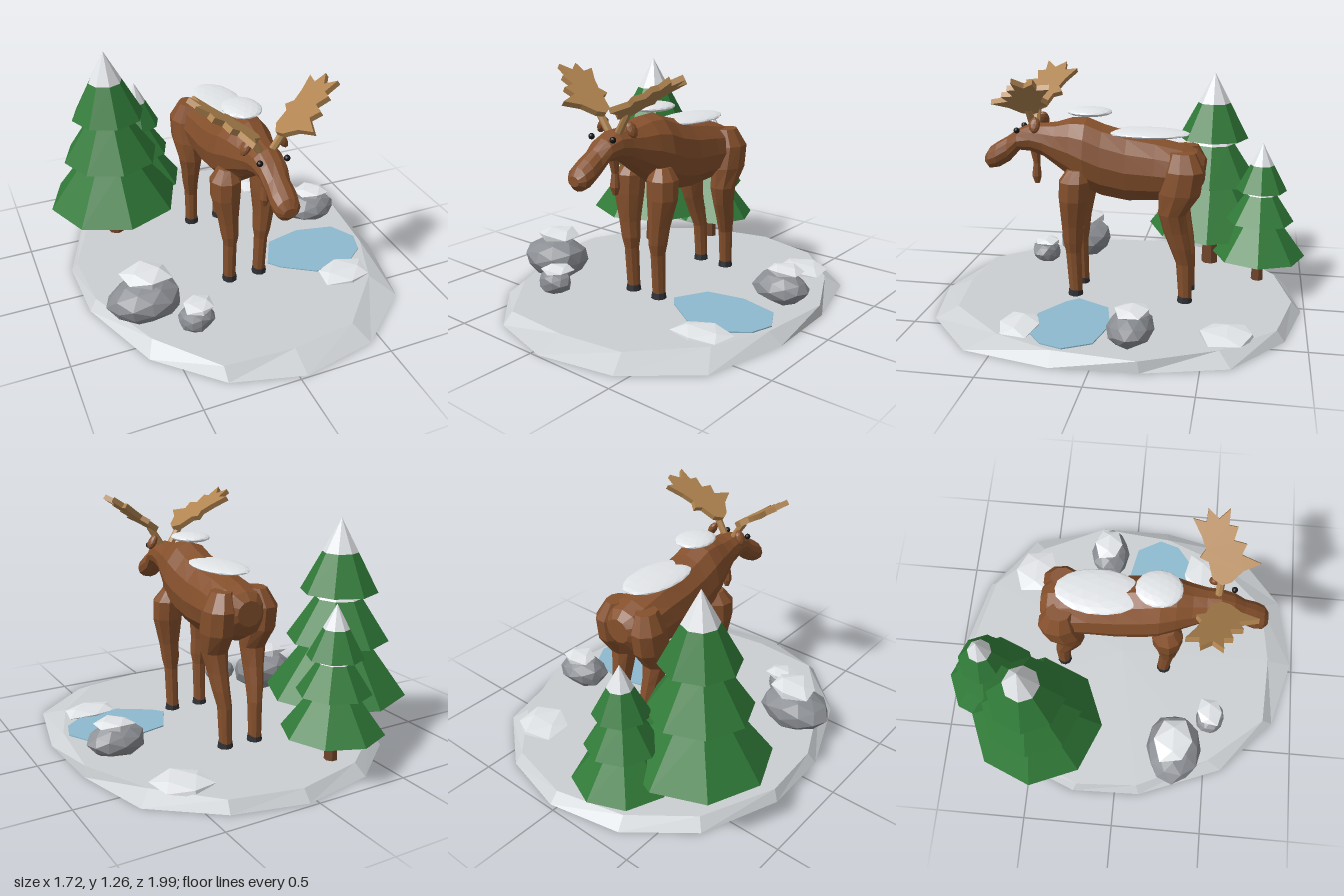
import * as THREE from 'three';

const mat = (name, color) => {
  const m = new THREE.MeshStandardMaterial({ color, flatShading: true });
  m.name = name;
  return m;
};

// Joins rings of points with faces and closes both ends
function loft(rings) {
  const n = rings[0].length, pos = [], idx = [];
  rings.forEach(r => r.forEach(p => pos.push(...p)));
  for (let i = 0; i < rings.length - 1; i++) {
    for (let j = 0; j < n; j++) {
      const k = (j + 1) % n, a = i * n + j, b = i * n + k;
      idx.push(a, b, b + n, a, b + n, a + n);
    }
  }
  const cap = (ring, start, flip) => {
    const c = pos.length / 3;
    pos.push(...[0, 1, 2].map(q => ring.reduce((s, p) => s + p[q], 0) / n));
    for (let j = 0; j < n; j++) {
      const a = start + j, b = start + (j + 1) % n;
      if (flip) idx.push(c, b, a); else idx.push(c, a, b);
    }
  };
  cap(rings[0], 0, true);
  cap(rings[rings.length - 1], (rings.length - 1) * n, false);
  const g = new THREE.BufferGeometry();
  g.setAttribute('position', new THREE.Float32BufferAttribute(pos, 3));
  g.setIndex(idx);
  g.computeVertexNormals();
  return g;
}
const angles = n => Array.from({ length: n }, (_, i) => i / n * Math.PI * 2);
// Cross-section facing z, from top, bottom and half width
const ringZ = ([z, top, bot, rx]) => angles(12).map(a =>
  [Math.cos(a) * rx, (top + bot) / 2 + Math.sin(a) * (top - bot) / 2, z]);
// Cross-section facing y, mirrored by side s
const ringY = s => ([y, x, z, rx, rz]) => angles(9).map(a =>
  [s * x + Math.sin(a) * rx, y, z + Math.cos(a) * rz]);

// Faceted ball with bumps that depend only on position
function lump(detail, bump, seed) {
  const g = new THREE.IcosahedronGeometry(1, detail), p = g.attributes.position;
  for (let i = 0; i < p.count; i++) {
    const x = p.getX(i), y = p.getY(i), z = p.getZ(i);
    const k = 1 + bump * Math.sin(5 * x + 7 * y + 3 * z + seed);
    p.setXYZ(i, x * k, y * k, z * k);
  }
  g.computeVertexNormals();
  return g;
}

export function createModel() {
  const fur = mat('fur', 0x85502c), antler = mat('antler', 0xb08450);
  const hoof = mat('hoof', 0x2e2f33), eyeBlack = mat('eye', 0x141414);
  const snow = mat('snow', 0xe6e9ec), ground = mat('ground', 0xcbcfd2);
  const rock = mat('rock', 0x8b8e93), pine = mat('pine', 0x307a38);
  const bark = mat('bark', 0x70452a), ice = mat('ice', 0x8dbacf);

  const root = new THREE.Group();
  const add = (parent, name, geo, m, pos = [0, 0, 0], scale = [1, 1, 1]) => {
    const mesh = new THREE.Mesh(geo, m);
    mesh.name = name;
    mesh.position.set(...pos);
    mesh.scale.set(...scale);
    parent.add(mesh);
    return mesh;
  };
  const group = (name, x = 0, y = 0, z = 0) => {
    const g = new THREE.Group();
    g.name = name;
    g.position.set(x, y, z);
    root.add(g);
    return g;
  };

  // Snowy ground slab with a sloping rim
  const rim = [[.04, .99], [.44, .91], [.76, .64], [.86, .19], [.84, -.23], [.73, -.64], [.41, -.89],
    [.04, -.98], [-.35, -.9], [-.66, -.65], [-.82, -.24], [-.81, .14], [-.63, .6], [-.33, .89]];
  const plate = [[.04, .85], [.39, .8], [.67, .5], [.79, .2], [.83, -.22], [.66, -.58], [.4, -.85],
    [.04, -.93], [-.33, -.84], [-.62, -.61], [-.79, -.22], [-.77, .12], [-.59, .52], [-.33, .83]];
  add(root, 'groundSlab', loft([rim.map(([x, z]) => [x, 0, z]), plate.map(([x, z]) => [x, .055, z])]), ground);

  // Frozen pond
  const pond = [[.42, .36], [.63, .35], [.74, .265], [.775, .15], [.7, .015], [.49, -.03], [.29, .015], [.2, .19], [.25, .25]];
  add(root, 'pond', loft([.054, .061].map(y => pond.map(([x, z]) => [x, y, z]))), ice);

  // Moose
  const moose = group('moose', .04);
  add(moose, 'bodyAndHead', loft([
    [-.45, .83, .7, .07], [-.41, .87, .64, .13], [-.34, .895, .6, .16], [-.2, .925, .585, .155],
    [-.05, .95, .575, .155], [.08, .985, .595, .155], [.17, 1.02, .63, .155], [.25, 1.015, .69, .135],
    [.33, .99, .75, .11], [.4, .98, .8, .09], [.47, .978, .825, .083], [.54, .948, .83, .075],
    [.6, .905, .765, .064], [.66, .87, .73, .07], [.705, .84, .722, .062], [.73, .8, .75, .035]
  ].map(ringZ)), fur);
  add(moose, 'dewlap', loft([[.65, 0, .45, .012, .014], [.69, 0, .452, .026, .026], [.76, 0, .45, .018, .018],
    [.85, 0, .46, .028, .03]].map(ringY(1))), fur);

  const foreLeg = [[.08, .088, .225, .034, .036], [.3, .09, .235, .036, .042], [.36, .092, .237, .048, .053],
    [.45, .1, .235, .054, .06], [.6, .112, .225, .08, .08], [.7, .11, .22, .082, .083], [.76, .1, .21, .045, .05]];
  const hindLeg = [[.08, .088, -.37, .034, .036], [.27, .09, -.362, .037, .044], [.36, .1, -.34, .045, .056],
    [.45, .106, -.315, .052, .066], [.55, .112, -.295, .068, .072], [.66, .12, -.335, .08, .11],
    [.78, .12, -.355, .08, .103], [.87, .1, -.345, .05, .065]];
  // Antler palm outline: sideways reach and depth
  const palm = [[.05, .46], [.075, .41], [.14, .385], [.155, .34], [.19, .365], [.24, .34], [.31, .29],
    [.3, .355], [.355, .36], [.317, .415], [.36, .465], [.295, .465], [.29, .51], [.235, .495],
    [.225, .56], [.18, .54], [.15, .64], [.115, .555], [.065, .505]];
  const ca = .829, sa = .559;
  const palmGeo = new THREE.ExtrudeGeometry(
    new THREE.Shape(palm.map(([x, z]) => new THREE.Vector2(x / ca, z))), { depth: .028, bevelEnabled: false });
  palmGeo.translate(0, 0, -.014);
  const hoofGeo = new THREE.CylinderGeometry(.036, .041, .032, 9);

  for (const s of [1, -1]) {
    const side = s > 0 ? 'left' : 'right';
    add(moose, side + 'ForeLeg', loft(foreLeg.map(ringY(s))), fur);
    add(moose, side + 'HindLeg', loft(hindLeg.map(ringY(s))), fur);
    add(moose, side + 'ForeHoof', hoofGeo, hoof, [s * .088, .071, .227]);
    add(moose, side + 'HindHoof', hoofGeo, hoof, [s * .088, .071, -.368]);
    add(moose, side + 'Ear', new THREE.IcosahedronGeometry(1, 1), fur, [s * .095, .985, .43], [.022, .045, .03])
      .rotation.z = s * .5;
    add(moose, side + 'Eye', new THREE.IcosahedronGeometry(.016, 1), eyeBlack, [s * .07, .948, .535]);
    const beam = new THREE.LineCurve3(new THREE.Vector3(s * .03, .96, .455), new THREE.Vector3(s * .1, 1.07, .46));
    add(moose, side + 'AntlerBeam', new THREE.TubeGeometry(beam, 1, .02, 7), antler);
    const m = add(moose, side + 'AntlerPalm', palmGeo, antler, [0, 1.01, 0]);
    m.quaternion.setFromRotationMatrix(new THREE.Matrix4().makeBasis(
      new THREE.Vector3(s * ca, sa, 0), new THREE.Vector3(0, 0, 1), new THREE.Vector3(sa, -s * ca, 0)));
  }
  // Snow lying on the back and hump
  add(moose, 'backSnow', new THREE.IcosahedronGeometry(1, 2), snow, [0, .946, -.145], [.125, .021, .228]);
  add(moose, 'humpSnow', new THREE.IcosahedronGeometry(1, 2), snow, [0, 1.048, .157], [.1, .023, .12]);

  // Pines: stacked cones with white tips [base height, radius, cone height]
  const tiers = [[.285, .365, .49], [.57, .265, .4], [.82, .2, .375]];
  for (const [name, x, z, k] of [['tallPine', -.49, -.46, 1], ['smallPine', -.255, -.745, .7]]) {
    const tree = group(name, x, .035 * (1 - k), z);
    tree.scale.setScalar(k);
    add(tree, 'trunk', new THREE.CylinderGeometry(.04, .05, .28, 7), bark, [0, .18, 0]);
    tiers.forEach(([y, r, h]) => {
      const f = .54;
      add(tree, 'branches', new THREE.CylinderGeometry(r * (1 - f), r, h * f, 8), pine, [0, y + h * f / 2, 0]);
      add(tree, 'snowTip', new THREE.ConeGeometry(r * (1 - f), h * (1 - f), 8), snow, [0, y + h * (1 + f) / 2, 0]);
    });
  }

  // Boulders with snow caps: position, half sizes, cap half sizes, cap height
  const boulders = [
    [[-.555, .145, .315], [.195, .11, .155], [.135, .036, .115], .278],
    [[-.35, .112, .515], [.093, .068, .085], [.085, .022, .088], .18],
    [[.635, .128, -.155], [.155, .085, .112], [.105, .026, .09], .218]];
  boulders.forEach(([p, s, c, y], i) => {
    add(root, 'boulder', lump(1, .06, i * 2), rock, p, s);
    add(root, 'boulderSnow', lump(0, .1, i * 3 + 1), snow, [p[0] + .015, y, p[2] - .01], c);
  });

  // Low snow drifts
  add(root, 'snowDrift', lump(0, .08, 2), snow, [.5, .058, -.61], [.15, .026, .145]);
  add(root, 'snowDrift', lump(0, .08, 5), snow, [.555, .058, .42], [.155, .022, .125]);

  return root;
}
